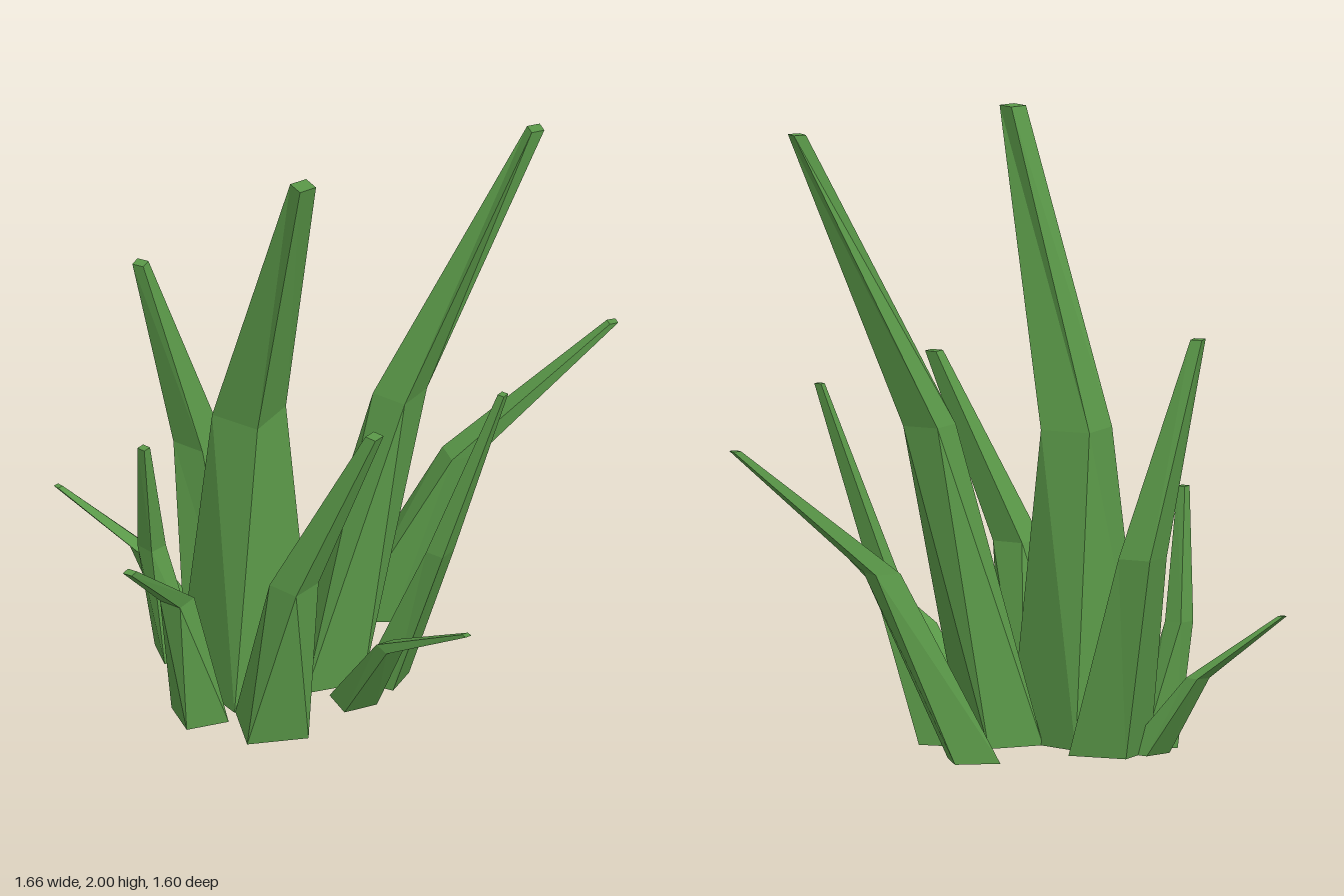
import * as THREE from 'three';

// Each blade: three square rings (base, bend, tip) as [x, y, z, radius, turn in degrees]
const BLADES = {
  tallFrontBlade: [[-0.11, 0, 0.08, 0.22, 80], [-0.1, 1, 0.085, 0.12, 57], [0.15, 2, 0.27, 0.042, 83]],
  tallBackBlade: [[0.115, 0, -0.025, 0.136, 96], [0.325, 1.03, -0.145, 0.087, 60], [0.71, 1.975, -0.345, 0.03, 95]],
  leftSlimBlade: [[0.3, 0, -0.065, 0.085, 50], [0.51, 0.55, -0.01, 0.045, 60], [0.7, 1.14, -0.07, 0.017, 60]],
  leftLowBlade: [[0.255, 0, 0.095, 0.08, 90], [0.44, 0.335, 0.26, 0.045, 85], [0.768, 0.56, 0.45, 0.015, 80]],
  backOuterBlade: [[0.115, 0, -0.425, 0.103, 113], [0.395, 0.605, -0.51, 0.062, 95], [0.81, 1.02, -0.78, 0.02, 95]],
  frontOuterBlade: [[-0.17, 0, 0.345, 0.1, 95], [-0.22, 0.465, 0.42, 0.055, 60], [-0.248, 0.77, 0.78, 0.023, 55]],
  frontBlade: [[0.065, 0, 0.325, 0.14, 104], [0.165, 0.59, 0.395, 0.078, 65], [0.432, 1.19, 0.382, 0.029, 65]],
  rightTallBlade: [[-0.265, 0, -0.165, 0.14, 55], [-0.39, 0.64, -0.24, 0.08, 60], [-0.545, 1.33, -0.13, 0.027, 50]],
  rightOuterBlade: [[-0.375, 0, -0.13, 0.075, 75], [-0.55, 0.25, -0.155, 0.037, 80], [-0.815, 0.45, -0.11, 0.014, 70]],
  rightSlimBlade: [[-0.365, 0, 0.015, 0.085, 100], [-0.443, 0.4, 0.045, 0.045, 70], [-0.435, 0.82, 0.14, 0.02, 65]],
};

// Loft a square blade through its rings and cap both ends
function bladeGeometry(rings) {
  const corners = rings.map(([x, y, z, r, turn]) => [0, 1, 2, 3].map((k) => {
    const a = THREE.MathUtils.degToRad(turn + k * 90);
    return [x + r * Math.cos(a), y, z + r * Math.sin(a)];
  }));
  const pos = [];
  const quad = (a, b, c, d) => pos.push(...a, ...b, ...c, ...a, ...c, ...d);
  for (let i = 0; i < corners.length - 1; i++) {
    const lo = corners[i], up = corners[i + 1];
    for (let k = 0; k < 4; k++) {
      const n = (k + 1) % 4;
      quad(lo[k], up[k], up[n], lo[n]);
    }
  }
  quad(...corners[0]);
  quad(...[...corners[corners.length - 1]].reverse());
  const g = new THREE.BufferGeometry();
  g.setAttribute('position', new THREE.Float32BufferAttribute(pos, 3));
  g.computeVertexNormals();
  return g;
}

export function createModel() {
  const group = new THREE.Group();
  group.name = 'grassTuft';
  const green = new THREE.MeshStandardMaterial({ color: 0x5a9848, flatShading: true });
  green.name = 'grassGreen';
  for (const [name, rings] of Object.entries(BLADES)) {
    const blade = new THREE.Mesh(bladeGeometry(rings), green);
    blade.name = name;
    group.add(blade);
  }
  return group;
}
